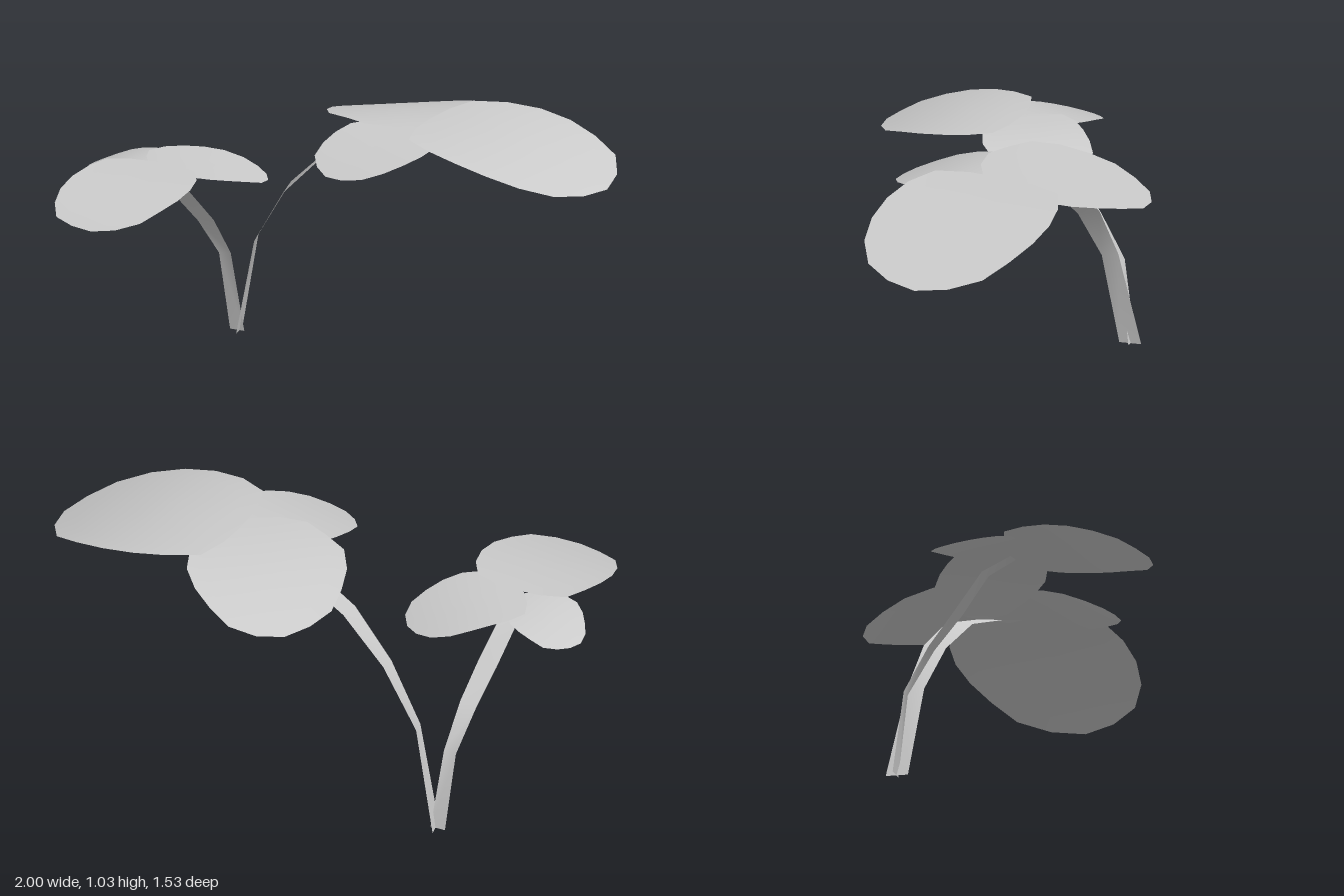
import * as THREE from 'three';

const material = new THREE.MeshStandardMaterial({ color: 0xcccccc, side: THREE.DoubleSide });

function makeMesh(name, positions, indices) {
  const geometry = new THREE.BufferGeometry();
  geometry.setAttribute('position', new THREE.Float32BufferAttribute(positions, 3));
  geometry.setIndex(indices);
  geometry.computeVertexNormals();
  const mesh = new THREE.Mesh(geometry, material);
  mesh.name = name;
  return mesh;
}

// Flat ribbon: each section is a centre and the half-width vector across it
function makeStem(name, sections) {
  const positions = [], indices = [];
  sections.forEach(([x, y, z, hx, hy, hz], i) => {
    positions.push(x - hx, y - hy, z - hz, x + hx, y + hy, z + hz);
    if (i > 0) {
      const a = 2 * i - 2;
      indices.push(a, a + 1, a + 2, a + 1, a + 3, a + 2);
    }
  });
  return makeMesh(name, positions, indices);
}

// Thin leaf: rings inside a plan outline (x, z), drooping with the square of
// the distance from the joint along the leaf's own direction
function makeLeaf(name, { joint, top, angle, droop, outline }) {
  const count = 18, rings = 5;
  const curve = new THREE.CatmullRomCurve3(
    outline.map(([x, z]) => new THREE.Vector3(x, 0, z)), true);
  const rim = curve.getSpacedPoints(count).slice(0, count);
  const centre = rim.reduce((sum, p) => sum.add(p), new THREE.Vector3()).divideScalar(count);
  const dx = Math.cos(angle), dz = Math.sin(angle);
  const positions = [], indices = [];
  const add = (x, z) => {
    const d = Math.max(0, (x - joint[0]) * dx + (z - joint[1]) * dz);
    positions.push(x, top - droop * d * d, z);
  };
  add(centre.x, centre.z);
  for (let r = 1; r <= rings; r++) {
    for (let i = 0; i < count; i++) {
      const p = centre.clone().lerp(rim[i], r / rings);
      add(p.x, p.z);
      const j = (i + 1) % count, a = 1 + (r - 1) * count, b = a - count;
      if (r === 1) indices.push(0, a + j, a + i);
      else indices.push(b + i, a + j, a + i, b + i, b + j, a + j);
    }
  }
  return makeMesh(name, positions, indices);
}

export function createModel() {
  const model = new THREE.Group();
  model.name = 'plant';

  // Tall sprig: arching stem and three leaves
  const tall = new THREE.Group();
  tall.name = 'tallSprig';
  tall.add(
    makeStem('tallStem', [
      [-0.65, 0, -0.29, 0.015, 0, 0.04],
      [-0.55, 0.4, -0.265, 0.012, -0.005, 0.03],
      [-0.405, 0.63, -0.265, 0.012, -0.01, 0.042],
      [-0.225, 0.8, -0.263, 0.01, -0.01, 0.052],
      [0.01, 0.91, -0.26, 0.008, -0.01, 0.053],
      [0.24, 1.0, -0.28, 0, 0, 0.03],
    ]),
    makeLeaf('tallLeftLeaf', {
      joint: [0.25, -0.35], top: 1.028, angle: 0, droop: 0.285,
      outline: [[0.25, -0.57], [0.4, -0.66], [0.55, -0.7], [0.7, -0.69], [0.86, -0.65], [0.95, -0.55],
        [1, -0.42], [0.99, -0.3], [0.94, -0.17], [0.82, -0.07], [0.66, -0.02], [0.5, -0.015],
        [0.34, -0.05], [0.28, -0.15], [0.24, -0.37]],
    }),
    makeLeaf('tallBackLeaf', {
      joint: [0.27, -0.28], top: 1.02, angle: -Math.PI * 0.75, droop: 0.34,
      outline: [[-0.03, -0.77], [0.08, -0.745], [0.2, -0.69], [0.3, -0.59], [0.33, -0.42], [0.27, -0.25],
        [0.2, -0.18], [0.08, -0.13], [-0.04, -0.155], [-0.17, -0.2], [-0.24, -0.32],
        [-0.29, -0.46], [-0.22, -0.67], [-0.13, -0.74]],
    }),
    makeLeaf('tallFrontLeaf', {
      joint: [0.24, -0.28], top: 1.0, angle: Math.PI * 0.55, droop: 0.47,
      outline: [[-0.03, -0.17], [0.06, -0.26], [0.2, -0.31], [0.33, -0.25], [0.41, -0.1], [0.4, -0.02],
        [0.36, 0.07], [0.29, 0.15], [0.19, 0.18], [0.1, 0.17], [-0.02, 0.07], [-0.04, -0.05]],
    }),
  );

  // Short sprig: forward-leaning stem and three leaves
  const short = new THREE.Group();
  short.name = 'shortSprig';
  short.add(
    makeStem('shortStem', [
      [-0.66, 0, -0.29, 0.03, 0, -0.005],
      [-0.677, 0.32, -0.235, 0.024, 0.003, -0.005],
      [-0.68, 0.48, -0.12, 0.033, 0.006, -0.006],
      [-0.682, 0.6, 0, 0.038, 0.006, -0.005],
      [-0.69, 0.73, 0.12, 0.035, 0.006, -0.005],
      [-0.65, 0.79, 0.22, 0.02, 0, 0],
    ]),
    makeLeaf('shortFrontLeaf', {
      joint: [-0.62, 0.2], top: 0.81, angle: Math.PI / 2, droop: 0.345,
      outline: [[-0.84, 0.29], [-0.7, 0.225], [-0.58, 0.21], [-0.46, 0.23], [-0.38, 0.37], [-0.365, 0.46],
        [-0.38, 0.58], [-0.4, 0.66], [-0.48, 0.735], [-0.57, 0.765], [-0.67, 0.755],
        [-0.75, 0.73], [-0.82, 0.64], [-0.86, 0.52], [-0.86, 0.42]],
    }),
    makeLeaf('shortBackLeaf', {
      joint: [-0.62, 0.22], top: 0.803, angle: -Math.PI / 4, droop: 0.49,
      outline: [[-0.54, -0.17], [-0.45, -0.155], [-0.39, -0.12], [-0.34, -0.06], [-0.32, 0.02],
        [-0.35, 0.12], [-0.38, 0.19], [-0.46, 0.26], [-0.58, 0.27], [-0.69, 0.225], [-0.78, 0.1],
        [-0.75, 0.02], [-0.7, -0.05], [-0.62, -0.14]],
    }),
    makeLeaf('shortRightLeaf', {
      joint: [-0.68, 0.19], top: 0.795, angle: Math.PI, droop: 0.7,
      outline: [[-0.99, 0.11], [-0.93, 0.02], [-0.86, 0.015], [-0.77, 0.03], [-0.69, 0.12],
        [-0.68, 0.23], [-0.76, 0.31], [-0.86, 0.33], [-0.93, 0.28], [-0.995, 0.19]],
    }),
  );

  model.add(tall, short);
  return model;
}
